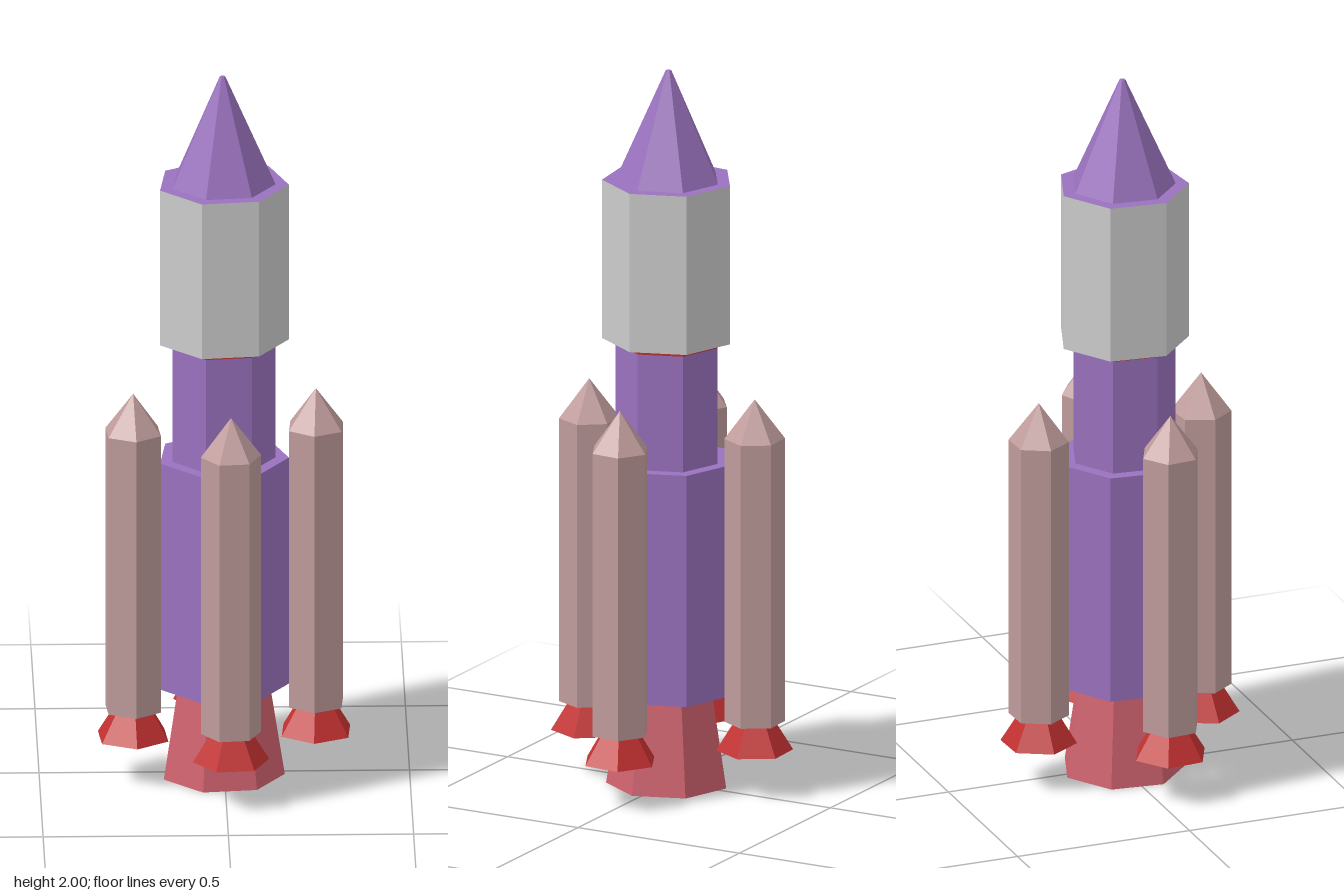
import * as THREE from 'three';

const paint = (color) => new THREE.MeshStandardMaterial({ color, flatShading: true });

export function createModel() {
  const purple = paint(0x9a71be), grey = paint(0xcccccc), red = paint(0xc23030);
  const rose = paint(0xcf626e), tan = paint(0xc09c9c);

  // Upright prism or frustum; one corner points at `corner` degrees from +x towards +z
  function section(parent, name, sides, corner, rTop, rBottom, y0, y1, material) {
    const start = Math.PI / 2 - THREE.MathUtils.degToRad(corner);
    const geometry = new THREE.CylinderGeometry(rTop, rBottom, y1 - y0, sides, 1, false, start);
    const mesh = new THREE.Mesh(geometry, material);
    mesh.name = name;
    mesh.position.y = (y0 + y1) / 2;
    parent.add(mesh);
  }

  const rocket = new THREE.Group();
  rocket.name = 'rocket';

  // Seven-sided central stack, from the engine bell up to the nose
  const core = new THREE.Group();
  core.name = 'coreStack';
  core.position.set(-0.005, 0, 0.004);
  rocket.add(core);
  const stack = [
    // name, top radius, bottom radius, bottom y, top y, material or [side, top, bottom]
    ['mainEngine', 0.128, 0.169, 0, 0.26, [rose, rose, grey]],
    ['lowerStage', 0.18, 0.18, 0.26, 0.91, purple],
    ['upperStage', 0.144, 0.144, 0.91, 1.235, purple],
    ['collar', 0.144, 0.144, 1.235, 1.25, red],
    ['payloadFairing', 0.18, 0.18, 1.25, 1.695, [grey, purple, red]],
    ['noseCone', 0.008, 0.144, 1.695, 2, purple],
  ];
  for (const [name, rTop, rBottom, y0, y1, material] of stack) {
    section(core, name, 7, 6.4, rTop, rBottom, y0, y1, material);
  }

  // Four six-sided strap-on boosters, each turned a little differently
  const boosters = [
    // name, x, z, corner angle
    ['backBooster', -0.029, -0.249, -2],
    ['leftBooster', 0.247, 0.013, -26],
    ['frontBooster', 0.013, 0.24, -6],
    ['rightBooster', -0.247, 0.046, -35],
  ];
  for (const [name, x, z, corner] of boosters) {
    const booster = new THREE.Group();
    booster.name = name;
    booster.position.set(x, 0, z);
    section(booster, 'boosterNozzle', 6, corner, 0.055, 0.104, 0.12, 0.2, red);
    section(booster, 'boosterBody', 6, corner, 0.082, 0.082, 0.2, 0.995, tan);
    section(booster, 'boosterTip', 6, corner, 0, 0.082, 0.995, 1.105, tan);
    rocket.add(booster);
  }

  return rocket;
}
